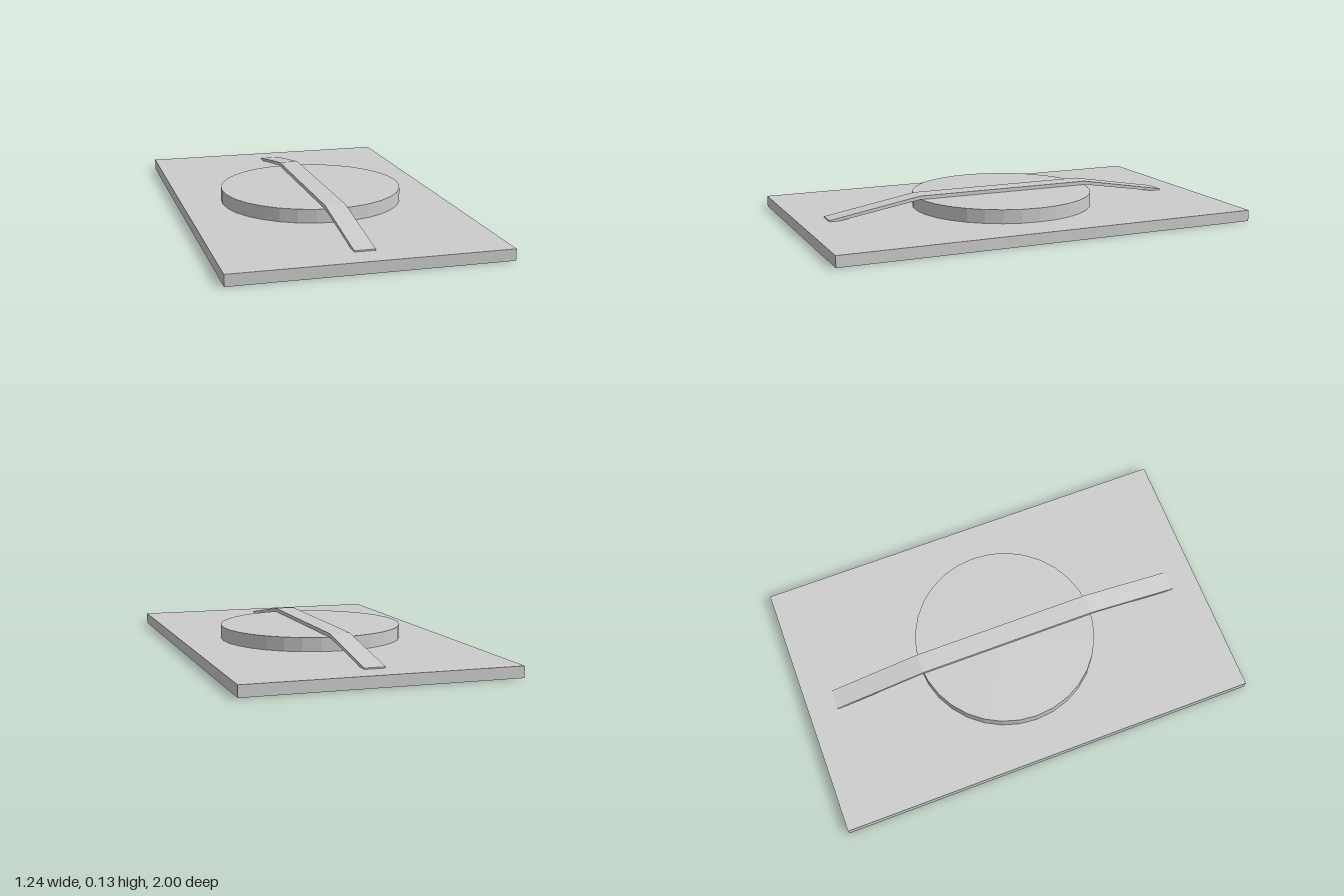
import * as THREE from 'three';

export function createModel() {
  const group = new THREE.Group();
  const material = new THREE.MeshStandardMaterial({ color: 0xcccccc, flatShading: true });

  const add = (name, geometry, y = 0) => {
    const mesh = new THREE.Mesh(geometry, material);
    mesh.name = name;
    mesh.position.y = y;
    group.add(mesh);
    return mesh;
  };

  const baseHeight = 0.052, discTop = 0.116, strapTop = 0.133;
  const discRadius = 0.43, strapReach = 0.866, strapWidth = 0.094;

  // Flat rectangular base
  add('basePlate', new THREE.BoxGeometry(1.236, baseHeight, 2), baseHeight / 2);

  // Low round disc in the middle
  const discHeight = discTop - baseHeight;
  add('disc', new THREE.CylinderGeometry(discRadius, discRadius, discHeight, 32), baseHeight + discHeight / 2);

  // Strap over the disc, sloping down until its ends sink into the base
  const half = [
    [strapReach, 0.044], [strapReach, 0.058], [discRadius, strapTop],
  ];
  const profile = [
    ...half,
    ...half.map(([z, y]) => [-z, y]).reverse(),
    [-discRadius, discTop], [discRadius, discTop],
  ].map(([z, y]) => new THREE.Vector2(z, y));
  const strap = new THREE.ExtrudeGeometry(new THREE.Shape(profile), { depth: strapWidth, bevelEnabled: false });
  strap.translate(0, 0, -strapWidth / 2);
  strap.rotateY(Math.PI / 2);
  add('strap', strap);

  return group;
}
